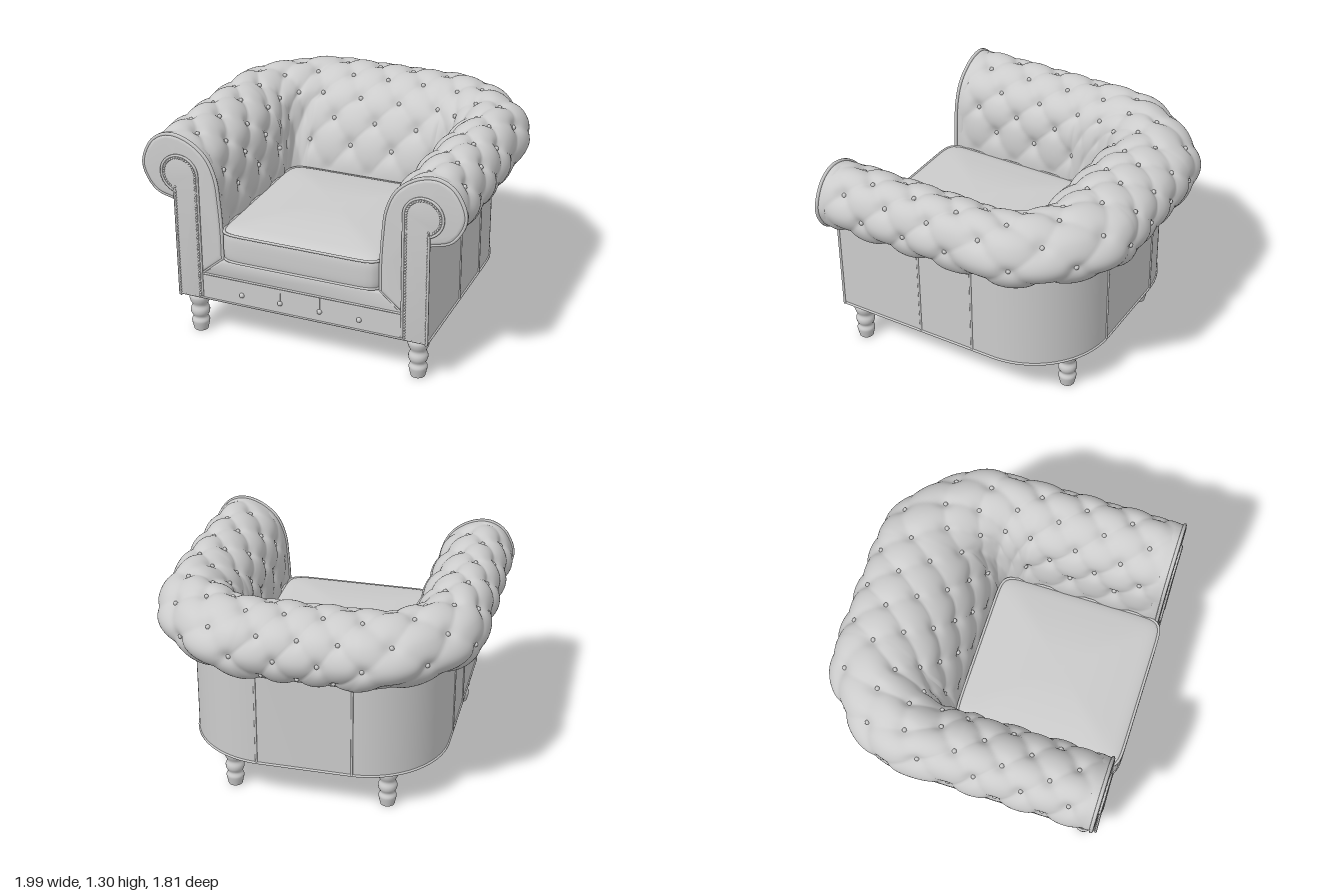
import * as THREE from 'three';
import { mergeGeometries, mergeVertices, toCreasedNormals } from 'three/addons/utils/BufferGeometryUtils.js';
import { RoundedBoxGeometry } from 'three/addons/geometries/RoundedBoxGeometry.js';

const V = (x, y, z = 0) => new THREE.Vector3(x, y, z);
const smooth = THREE.MathUtils.smoothstep;
const material = new THREE.MeshStandardMaterial({ color: 0xcccccc });
const thin = new THREE.MeshStandardMaterial({ color: 0xcccccc, side: THREE.DoubleSide });

// Smooth surface over a grid; fn(s, t) with s, t in 0..1, outward = dt x ds
function grid(nu, nv, fn) {
  const pos = [], idx = [];
  for (let i = 0; i <= nu; i++) for (let j = 0; j <= nv; j++) pos.push(...fn(i / nu, j / nv).toArray());
  for (let i = 0; i < nu; i++) for (let j = 0; j < nv; j++) {
    const a = i * (nv + 1) + j, c = a + nv + 1;
    idx.push(a, a + 1, c, a + 1, c + 1, c);
  }
  const g = new THREE.BufferGeometry();
  g.setAttribute('position', new THREE.Float32BufferAttribute(pos, 3));
  g.setIndex(idx);
  const m = mergeVertices(g, 1e-5);
  m.computeVertexNormals();
  return m;
}

// Arm and back section from outer underside, over the roll, to the seat:
// x = half width of the arms, y = height, z = depth of the back
const section = new THREE.CatmullRomCurve3([
  V(.77, .88, .68), V(.915, .935, .83), V(.982, 1.07, .89), V(.937, 1.205, .83), V(.83, 1.28, .66), V(.7, 1.262, .5),
  V(.58, 1.17, .35), V(.525, 1.045, .26), V(.507, .9, .195), V(.496, .72, .15), V(.495, .54, .14)]);

// Point on the U-shaped plan: u counts tuft columns from the middle of the back, v counts rows
function basePoint(u, v) {
  const p = section.getPoint(THREE.MathUtils.clamp((v + 1) / 10, 0, 1)), w = Math.abs(u), X = p.x, Z = p.z;
  const R = .5 + .1 * smooth(v, -1, 0) - .55 * smooth(v, 1.5, 6.8), x0 = Math.min(.41, X - R);
  let x, z;
  if (w <= 3) { x = x0 / 3 * w; z = -Z; }
  else if (w >= 9) { x = X; z = .14 * (w - 9); }
  else {
    const a = X - x0 - R, b = R * Math.PI / 2, s = (w - 3) / 6 * (a + b + Z - R);
    if (s < a) { x = x0 + s; z = -Z; }
    else if (s < a + b) {
      const k = (s - a) / R, r = R * (1 - .07 * Math.sin(2 * k) ** 2);
      x = X - R + r * Math.sin(k); z = -Z + R - r * Math.cos(k);
    } else { x = X; z = -Z + R + s - a - b; }
  }
  return V(u < 0 ? -x : x, p.y, z);
}

// Tufted point: soft diamonds with fine folds and a deep dimple at each button
function tuft(u, v) {
  const e = .02, p = basePoint(u, v);
  const du = basePoint(u + e, v).sub(basePoint(u - e, v)), dv = basePoint(u, v + e).sub(basePoint(u, v - e));
  const spacing = du.length() / (2 * e), normal = dv.cross(du).normalize();
  const a = (u + v) / 2, b = (u - v) / 2, ra = a - Math.round(a), rb = b - Math.round(b);
  const pillow = Math.abs(Math.sin(Math.PI * a) * Math.sin(Math.PI * b));
  const dip = Math.exp(-(ra * ra + rb * rb) / .045);
  const fade = smooth(v, -1, -.2) * (1 - smooth(v, 7.4, 8.6)) * (1 - smooth(Math.abs(u), 14.2, 15.1)) * Math.min(1, spacing / .14);
  return { point: p.addScaledVector(normal, fade * (.008 * Math.sqrt(pillow) + .01 * pillow - .003 - .026 * dip)), normal, spacing };
}

const extrude = (shape, depth, bevel = 0) => toCreasedNormals(new THREE.ExtrudeGeometry(shape, {
  depth, curveSegments: 24, bevelEnabled: bevel > 0, bevelSize: bevel, bevelThickness: bevel, bevelOffset: -bevel, bevelSegments: 3 }), .6);
const tube = (pts, r, closed = false, n = 100) =>
  new THREE.TubeGeometry(new THREE.CatmullRomCurve3(pts, closed, 'centripetal'), n, r, 6, closed);
const dots = (pts, r) => mergeGeometries(pts.map(p => new THREE.SphereGeometry(r, 8, 6).translate(p.x, p.y, p.z)));

export function createModel() {
  const chair = new THREE.Group();
  const add = (name, geo, parent = chair, mat = material) => {
    const m = new THREE.Mesh(geo, mat);
    m.name = name;
    parent.add(m);
    return m;
  };

  // Tufted arms and back in one sweep, with buttons
  const END = 15.15;
  add('tuftedArmsAndBack', grid(300, 100, (s, t) => tuft((s * 2 - 1) * END, t * 10 - 1).point), chair, thin);
  const buttons = [];
  for (let u = -14; u <= 14; u++) for (let v = 0; v <= 7; v++) {
    if ((u + v) % 2) continue;
    const t = tuft(u, v);
    if (t.spacing > .07) buttons.push(t.point.addScaledVector(t.normal, .004));
  }
  add('tuftButtons', dots(buttons, .014));

  // Outer body wall with broad round back corners, open at the front
  const outline = s => s.moveTo(.78, .86).lineTo(.78, -.19).absarc(.28, -.19, .5, 0, -Math.PI / 2, true)
    .lineTo(-.28, -.69).absarc(-.28, -.19, .5, -Math.PI / 2, -Math.PI, true).lineTo(-.78, .86);
  const wall = outline(new THREE.Shape());
  wall.lineTo(-.74, .86).lineTo(-.74, -.19).absarc(-.28, -.19, .46, -Math.PI, -Math.PI / 2, false)
    .lineTo(.28, -.65).absarc(.28, -.19, .46, -Math.PI / 2, 0, false).lineTo(.74, .86);
  add('bodyWall', extrude(wall, .64).rotateX(Math.PI / 2).translate(0, .9, 0));

  // Underside with a deep opening towards the back
  const floor = outline(new THREE.Shape());
  floor.holes.push(new THREE.Path().moveTo(-.6, -.1).lineTo(-.6, -.4).lineTo(.6, -.4).lineTo(.6, -.1).closePath());
  add('underside', extrude(floor, .03).rotateX(Math.PI / 2).translate(0, .29, 0));
  add('innerCrossBoard', new THREE.BoxGeometry(1.3, .19, .03).translate(0, .37, -.085));
  const rim = outline(new THREE.Path()).getSpacedPoints(120).map(p => V(p.x, .267, p.y));
  add('bottomPiping', tube(rim, .008, false, 160));

  // Upright seams on the sides and back
  const seam = new THREE.CylinderGeometry(.007, .007, .62, 8);
  for (const s of [-1, 1]) {
    for (const z of [.31, -.05]) add('sideSeam', seam).position.set(s * .78, .58, z);
    add('backSeam', seam).position.set(s * .29, .58, -.69);
  }

  // Seat deck, front rail and sloping lip
  add('seatDeck', new THREE.BoxGeometry(1.36, .08, 1.17).translate(0, .49, .235));
  add('frontRail', new RoundedBoxGeometry(1.28, .17, .09, 3, .015).translate(0, .346, .828));
  const lip = new THREE.Shape([[-.64, .43], [.64, .43], [.5, .545], [-.5, .545]].map(p => new THREE.Vector2(...p)));
  add('frontLip', extrude(lip, .07, .02).translate(0, 0, .783));
  add('railPiping', tube([V(-.63, .43, .868), V(.63, .43, .868)], .008, false, 4));
  add('railBottomPiping', tube([V(-.78, .267, .868), V(.78, .267, .868)], .008, false, 4));
  add('railButtons', dots([-.37, -.125, .125, .37].map(x => V(x, .335, .875)), .016));
  for (const x of [-.125, .125]) add('railSeam', new THREE.BoxGeometry(.006, .09, .008).translate(x, .38, .873));

  // Domed seat cushion with piping
  const side = new THREE.CatmullRomCurve3([V(0, .535), V(.6, .535), V(.96, .535), V(1, .555), V(1.012, .64), V(1, .72),
    V(.965, .738), V(.7, .765), V(.35, .783), V(0, .787)]);
  const ring = (a, k, y) => {
    const c = Math.cos(a), s = Math.sin(a), r = k / Math.pow(Math.abs(c) ** 13 + Math.abs(s) ** 13, 1 / 13);
    return V(.498 * r * c, y, .38 + .514 * r * s);
  };
  add('seatCushion', grid(128, 45, (s, t) => {
    const p = side.getPoint(t);
    return ring(s % 1 * Math.PI * 2, Math.max(p.x, 0), p.y);
  }));
  for (const y of [.555, .727]) {
    const loop = Array.from({ length: 96 }, (_, i) => ring(i / 96 * Math.PI * 2, 1, y));
    add('cushionPiping', tube(loop, .009, true, 192));
  }

  // Scrolled arm fronts: padded band, raised board, piping and nail heads
  const rollEdge = Array.from({ length: 61 }, (_, i) => section.getPoint(i / 60)).map(p => new THREE.Vector2(p.x, p.y));
  const band = new THREE.Shape([...rollEdge, ...[[.63, .43], [.63, .26], [.77, .26]].map(p => new THREE.Vector2(...p))]);
  const board = new THREE.Shape().moveTo(.78, .26).lineTo(.78, .955)
    .absarc(.745, 1.05, .115, -1.26, Math.PI, false).lineTo(.63, .26);
  const boardEdge = board.getSpacedPoints(110).slice(0, -1);
  const inset = k => boardEdge.map(p => V(.745 + (p.x - .745) * k, p.y > .95 ? 1.05 + (p.y - 1.05) * k : p.y, .874));
  for (const s of [1, -1]) {
    const arm = new THREE.Group();
    arm.name = s > 0 ? 'leftArmFront' : 'rightArmFront';
    arm.scale.x = s;
    chair.add(arm);
    add('scrollBand', extrude(band, .036, .02).translate(0, 0, .814), arm);
    add('scrollBoard', extrude(board, .03, .006).translate(0, 0, .838), arm);
    add('scrollPiping', tube(rollEdge.map(p => V(p.x, p.y, .856)), .011, false, 120), arm);
    add('mitrePiping', tube([V(.495, .545, .864), V(.63, .43, .87)], .006, false, 4), arm);
    add('boardPiping', tube(inset(1), .008, false, 200), arm);
    add('nailHeads', dots(inset(.87), .007), arm);
  }

  // Turned legs: front pair wide, back pair set in
  const legLine = new THREE.SplineCurve([[.043, 0], [.053, .045], [.054, .065], [.044, .088], [.056, .115], [.057, .14], [.047, .168],
    [.059, .198], [.064, .225], [.056, .25], [.054, .28]].map(p => new THREE.Vector2(...p)));
  const legGeo = new THREE.LatheGeometry([new THREE.Vector2(0, 0), new THREE.Vector2(.043, 0), ...legLine.getPoints(36)], 24);
  for (const s of [-1, 1]) {
    add('frontLeg', legGeo).position.set(s * .7, 0, .785);
    add('backLeg', legGeo).position.set(s * .475, 0, -.53);
  }
  return chair;
}
